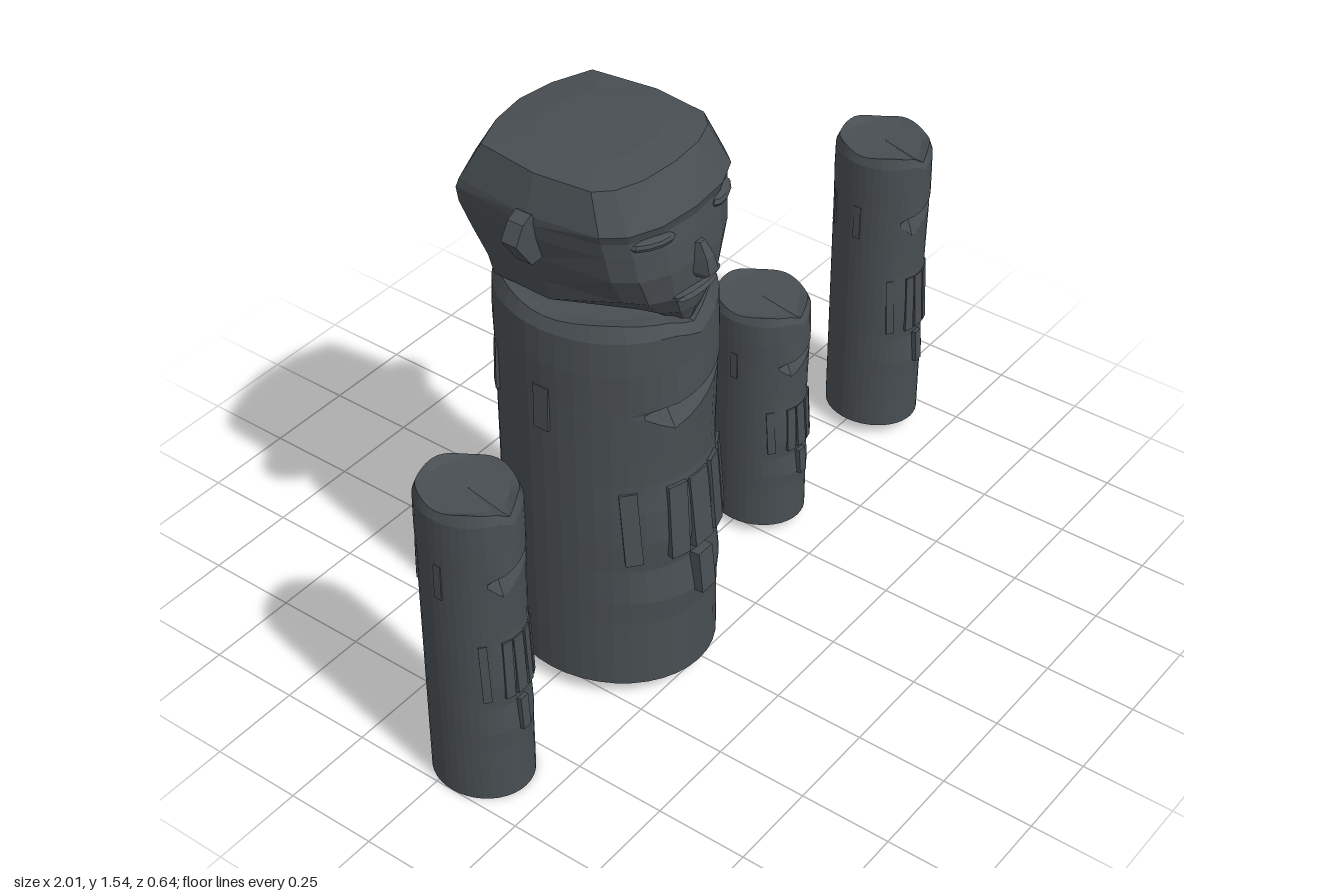
import * as THREE from 'three';

const stone = new THREE.MeshStandardMaterial({ color: 0x484e52, flatShading: true, side: THREE.DoubleSide });
stone.name = 'darkStone';

function add(parent, geometry, name) {
  const mesh = new THREE.Mesh(geometry, stone);
  mesh.name = name;
  parent.add(mesh);
  return mesh;
}

// Skin over closed rings of [x, y, z] points, capped at both ends
function loft(rings) {
  const n = rings[0].length, pos = [], index = [];
  rings.forEach(r => r.forEach(p => pos.push(...p)));
  for (let i = 0; i < rings.length - 1; i++) {
    for (let j = 0; j < n; j++) {
      const a = i * n + j, b = i * n + (j + 1) % n;
      index.push(a, b, b + n, a, b + n, a + n);
    }
  }
  for (const i of [0, rings.length - 1]) {
    const c = pos.length / 3, mid = [0, 0, 0];
    rings[i].forEach(p => p.forEach((v, k) => { mid[k] += v / n; }));
    pos.push(...mid);
    for (let j = 0; j < n; j++) {
      const a = i * n + j, b = i * n + (j + 1) % n;
      index.push(...(i ? [c, a, b] : [c, b, a]));
    }
  }
  const g = new THREE.BufferGeometry();
  g.setAttribute('position', new THREE.Float32BufferAttribute(pos, 3));
  g.setIndex(index);
  g.computeVertexNormals();
  return g;
}

const RX = 0.25, RZ = 0.285, H = 1.115, SIDES = 40;

// Oval post with a slanting slash across the chest and a chipped rim
function postGeometry() {
  const slash = a => {
    const x = RX * Math.sin(a), t = THREE.MathUtils.clamp((x + 0.15) / 0.35, 0, 1);
    const g = Math.cos(a) > 0 ? (t < 0.2 ? t / 0.2 : (1 - t) / 0.8) : 0;
    return { top: 0.87 + 0.06 * t, g };
  };
  const chip = a => Math.max(0, 1 - Math.abs(a > Math.PI ? a - 2 * Math.PI : a) / 0.35);
  const front = (a, k) => 1 + k * Math.max(0, Math.cos(a)) ** 3;
  // each row gives the height and the radius factor at an angle
  const rows = [
    () => [0, 1],
    () => [0.2, 1],
    a => [0.27, front(a, 0.03)],
    a => [0.37, front(a, -0.03)],
    a => [0.46, front(a, 0.02)],
    a => [0.56, front(a, 0.0)],
    a => [0.64, front(a, -0.04)],
    a => [0.72, front(a, -0.03)],
    a => { const s = slash(a); return [s.top - 0.02 - 0.065 * s.g, 1 - 0.01 * s.g]; },
    a => { const s = slash(a); return [s.top - 0.01 - 0.012 * s.g, 1 - 0.2 * s.g]; },
    a => { const s = slash(a); return [s.top, 1 + 0.04 * s.g]; },
    () => [0.98, 1.01],
    a => [1.075 - 0.03 * chip(a), 1],
    a => [H - 0.006 + 0.006 * Math.sin(5 * a) - 0.04 * chip(a), 0.93],
    a => [H - 0.015 - 0.03 * chip(a), 0.76]
  ];
  return loft(rows.map(row => Array.from({ length: SIDES }, (_, j) => {
    const a = j / SIDES * Math.PI * 2, [y, r] = row(a);
    return [RX * r * Math.sin(a), y, RZ * r * Math.cos(a)];
  })));
}

// Block set against the post at an angle given in degrees
function block(parent, name, deg, y, w, h, d, out, tilt = 0, roll = 0) {
  const a = THREE.MathUtils.degToRad(deg);
  const mesh = add(parent, new THREE.BoxGeometry(w, h, d), name);
  mesh.position.set((RX + out) * Math.sin(a), y, (RZ + out) * Math.cos(a));
  mesh.rotation.set(tilt, a, roll, 'YXZ');
}

function makePost(name) {
  const post = new THREE.Group();
  post.name = name;
  add(post, postGeometry(), 'body');
  // carved slats around the waist and a peg beneath them
  [[-44, 0.045, 0.06], [-17, 0.055, 0], [17, 0.05, 0], [32, 0.045, -0.03], [54, 0.05, 0.06]].forEach(([deg, w, roll]) =>
    block(post, 'waistSlat', deg, 0.515, w, 0.215, 0.03, -0.006, -0.07, roll));
  block(post, 'centreSlat', 0, 0.515, 0.07, 0.21, 0.025, -0.006, -0.1);
  block(post, 'peg', 0, 0.32, 0.055, 0.12, 0.05, 0.0, -0.1);
  // small rectangular panels around the sides and back
  [90, 148, 178, 226, 270].forEach(deg =>
    block(post, 'sidePanel', deg, 0.845, 0.045, 0.125, 0.02, -0.005, -0.03));
  return post;
}

function makeHead() {
  const head = new THREE.Group();
  head.name = 'head';
  // height, half width at face / ears / back corner, front z, back z
  const levels = [
    [1.11, 0.03, 0.11, 0.12, 0.25, -0.2],
    [1.16, 0.095, 0.19, 0.185, 0.268, -0.245],
    [1.22, 0.16, 0.205, 0.2, 0.28, -0.25],
    [1.30, 0.2, 0.232, 0.22, 0.28, -0.285],
    [1.37, 0.212, 0.255, 0.235, 0.27, -0.315],
    [1.41, 0.22, 0.262, 0.24, 0.262, -0.318],
    [1.435, 0.23, 0.262, 0.236, 0.268, -0.308],
    [1.53, 0.205, 0.228, 0.205, 0.205, -0.25],
    [1.543, 0.12, 0.14, 0.12, 0.12, -0.15]
  ];
  add(head, loft(levels.map(([y, wf, w, wb, zf, zb]) => {
    const half = [[wf * 0.5, zf * 0.96], [wf * 0.85, zf * 0.83], [wf * 1.03, zf * 0.64],
      [w, -0.02], [wb, zb * 0.78], [wb * 0.5, zb * 0.94]];
    const mirror = half.map(([x, z]) => [-x, z]).reverse();
    return [[0, zf], ...half, [0, zb], ...mirror].map(([x, z]) => [x, y, z]);
  })), 'skull');

  // wedge nose
  const nose = [[1.255, 0.024, 0.3], [1.27, 0.03, 0.318], [1.31, 0.024, 0.308], [1.345, 0.016, 0.285]];
  add(head, loft(nose.map(([y, w, z]) => [[w * 0.6, y, z], [w, y, 0.25], [-w, y, 0.25], [-w * 0.6, y, z]])), 'nose');

  // lips
  for (const [y, s] of [[1.227, 0.9], [1.209, 0.75]]) {
    const lip = add(head, new THREE.SphereGeometry(1, 12, 6), 'lip');
    lip.scale.set(0.1 * s, 0.007, 0.022);
    lip.position.set(0, y, 0.268);
  }

  for (const side of [-1, 1]) {
    // almond eyelid
    const lid = add(head, new THREE.SphereGeometry(1, 10, 6), 'eyelid');
    lid.scale.set(0.062, 0.018, 0.025);
    lid.position.set(side * 0.13, 1.395, 0.237);
    lid.rotation.y = side * 0.42;
    // pointed ear
    const shape = new THREE.Shape([[0.22, 1.41], [0.265, 1.445], [0.295, 1.43], [0.322, 1.385], [0.27, 1.31], [0.22, 1.31]]
      .map(([x, y]) => new THREE.Vector2(x * side, y)));
    const ear = add(head, new THREE.ExtrudeGeometry(shape, { depth: 0.045, bevelEnabled: false }), 'ear');
    ear.position.z = -0.045;
  }
  return head;
}

export function createModel() {
  const model = new THREE.Group();
  model.name = 'carvedPosts';

  const main = makePost('mainPost');
  main.position.set(-0.3, 0.045, 0);
  model.add(main);

  const head = makeHead();
  head.position.x = -0.295;
  model.add(head);

  // three smaller posts: x, base height, z, height
  [[-0.88, 0, 0.05, 0.9], [0.335, 0.03, 0.015, 0.695], [0.88, 0.04, 0.03, 0.9]].forEach(([x, y, z, h]) => {
    const post = makePost('smallPost');
    post.position.set(x, y, z);
    post.scale.set(0.48, h / H, 0.475);
    model.add(post);
  });
  return model;
}
